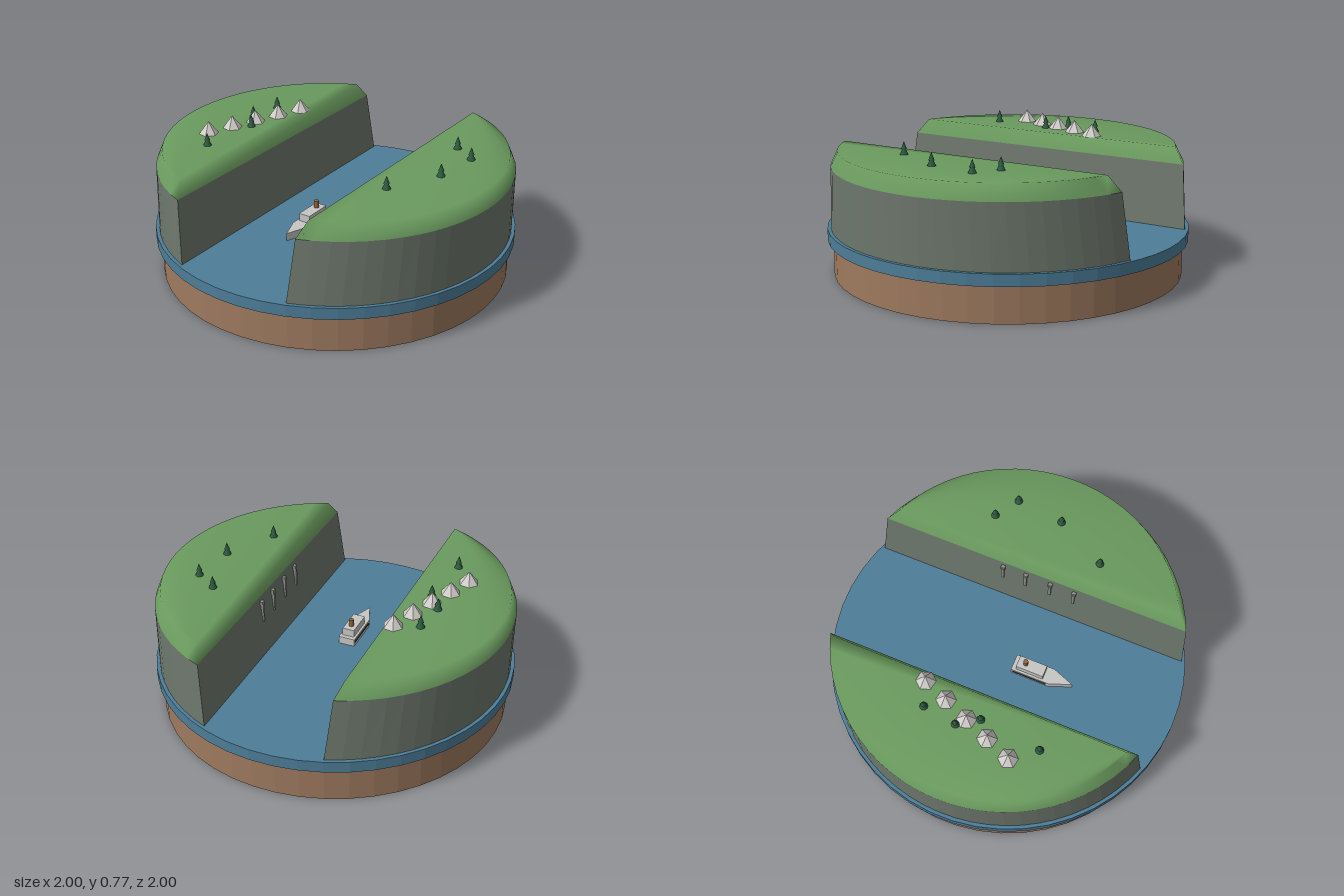
import * as THREE from 'three';

const mat = (name, color) => {
  const m = new THREE.MeshStandardMaterial({ color });
  m.name = name;
  return m;
};

const flat = (g) => {
  const f = g.index ? g.toNonIndexed() : g;
  f.computeVertexNormals();
  return f;
};

const WATER_Y = 0.265, ROCK_Y = 0.615, TOP_Y = 0.7;
const R = 0.98, CHORD = 0.335, SEG = 26;

// Circular-segment outline at height y, remapped to span x0..x1, with its length scaled
function ring(y, x0, x1, zScale) {
  const a = Math.acos(CHORD / R), pts = [];
  for (let i = 0; i <= SEG; i++) {
    const t = -a + (2 * a * i) / SEG;
    const k = (R * Math.cos(t) - CHORD) / (R - CHORD);
    pts.push([x0 + k * (x1 - x0), y, R * Math.sin(t) * zScale]);
  }
  return pts;
}

// Wall between two rings, optionally closed on top
function loft(low, high, capped) {
  const n = low.length, index = [];
  for (let i = 0; i < n; i++) {
    const j = (i + 1) % n;
    index.push(i, n + i, j, j, n + i, n + j);
  }
  if (capped) for (let i = 1; i < n - 1; i++) index.push(n, n + i + 1, n + i);
  const g = new THREE.BufferGeometry();
  g.setAttribute('position', new THREE.Float32BufferAttribute([...low, ...high].flat(), 3));
  g.setIndex(index);
  g.computeVertexNormals();
  return g;
}

export function createModel() {
  const earth = mat('earth brown', 0x9e7a5f);
  const water = mat('river blue', 0x4d7d98);
  const rock = mat('cliff grey', 0x6d776c);
  const grass = mat('grass green', 0x6a9a5e);
  const leaf = mat('pine green', 0x2f5b42);
  const canvas = mat('tent white', 0xd2cecb);
  const paint = mat('ship grey', 0xc6c6c4);
  const dark = mat('dark trim', 0x4a4644);
  const brass = mat('funnel brown', 0x94673c);
  const stone = mat('carved stone', 0x8b8d89);

  const model = new THREE.Group();
  model.name = 'riverDiorama';
  const add = (parent, name, geo, m, x = 0, y = 0, z = 0) => {
    const mesh = new THREE.Mesh(geo, m);
    mesh.name = name;
    mesh.position.set(x, y, z);
    parent.add(mesh);
    return mesh;
  };

  // Round base and water disc
  add(model, 'base', flat(new THREE.CylinderGeometry(0.97, 0.97, 0.2, 48)), earth, 0, 0.1, 0);
  add(model, 'water', flat(new THREE.CylinderGeometry(1, 1, 0.065, 48)), water, 0, 0.2325, 0);

  // Everything aligned with the river: local x crosses it, local z runs along it
  const valley = new THREE.Group();
  valley.name = 'valley';
  valley.rotation.y = -Math.PI / 9;
  model.add(valley);

  // Two matching cliffs with bevelled grass caps
  const foot = ring(WATER_Y, 0.335, 0.98, 1);
  const shoulder = ring(ROCK_Y, 0.37, 0.985, 0.96);
  const crest = ring(TOP_Y, 0.404, 0.95, 0.89);
  const rockGeo = flat(loft(foot, shoulder, false));
  const grassGeo = loft(shoulder, crest, true);
  ['rightBank', 'leftBank'].forEach((name, i) => {
    const bank = new THREE.Group();
    bank.name = name;
    bank.rotation.y = i * Math.PI;
    add(bank, 'cliff', rockGeo, rock);
    add(bank, 'grassTop', grassGeo, grass);
    valley.add(bank);
  });

  // Carved stone pillars on one cliff face
  [-0.18, -0.045, 0.1, 0.24].forEach((z) => {
    add(valley, 'pillar', new THREE.BoxGeometry(0.024, 0.11, 0.016), stone, 0.36, 0.515, z);
    add(valley, 'pillarHead', new THREE.BoxGeometry(0.026, 0.025, 0.024), stone, 0.363, 0.575, z);
  });

  // Ship: pointed hull, cabin, funnel and side trim
  const ship = new THREE.Group();
  ship.name = 'ship';
  ship.position.set(-0.044, WATER_Y, 0.053);
  valley.add(ship);
  const deck = new THREE.Shape([
    [-0.047, 0], [0.047, 0], [0.047, -0.225], [0, -0.35], [-0.047, -0.225],
  ].map(([x, y]) => new THREE.Vector2(x, y)));
  const hull = new THREE.ExtrudeGeometry(deck, { depth: 0.043, bevelEnabled: false });
  hull.rotateX(-Math.PI / 2);
  add(ship, 'hull', hull, paint);
  add(ship, 'cabin', new THREE.BoxGeometry(0.068, 0.045, 0.16), paint, 0, 0.064, 0.105);
  for (const s of [-1, 1]) {
    add(ship, 'sideTrim', new THREE.BoxGeometry(0.006, 0.01, 0.2), dark, s * 0.048, 0.027, 0.11);
  }
  add(ship, 'funnel', new THREE.CylinderGeometry(0.014, 0.014, 0.042, 12), brass, 0, 0.106, 0.07);

  // Pine trees
  const lower = new THREE.ConeGeometry(0.023, 0.05, 10);
  const upper = new THREE.ConeGeometry(0.016, 0.042, 10);
  [
    [-0.46, -0.42], [-0.55, -0.25], [-0.52, -0.12], [-0.67, 0.19],
    [0.655, -0.1], [0.747, 0.025], [0.627, 0.265], [0.387, 0.48],
  ].forEach(([x, z]) => {
    const tree = new THREE.Group();
    tree.name = 'pineTree';
    tree.position.set(x, TOP_Y, z);
    add(tree, 'lowerBranches', lower, leaf, 0, 0.025, 0);
    add(tree, 'upperBranches', upper, leaf, 0, 0.05, 0);
    model.add(tree);
  });

  // Row of faceted tents
  const tent = flat(new THREE.ConeGeometry(0.055, 0.07, 6));
  for (let i = 0; i < 5; i++) {
    add(model, 'tent', tent, canvas, -0.72 + i * 0.1, TOP_Y + 0.035, 0.03 - i * 0.112);
  }

  return model;
}
